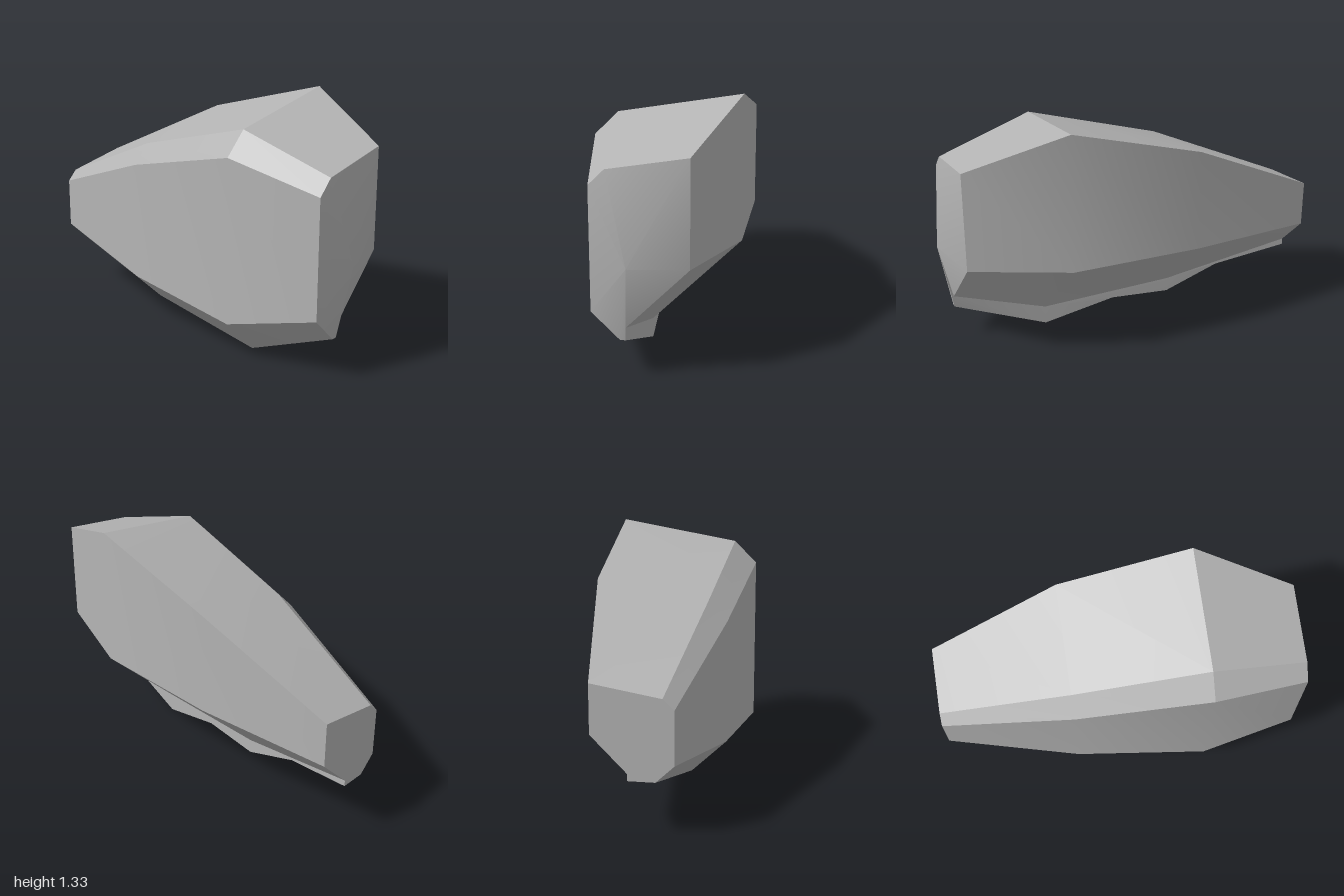
import * as THREE from 'three';
import { toCreasedNormals } from 'three/addons/utils/BufferGeometryUtils.js';

// Cross-sections along x: [z, y] pairs running front top, over the back, under the keel, to front bottom
const sections = [
  { x: -1.0, ring: [[0.145, 0.635], [0.09, 0.69], [-0.26, 0.75], [-0.26, 0.5], [-0.08, 0.315], [-0.08, 0.28], [0.055, 0.28], [0.145, 0.365]] },
  { x: -0.29, ring: [[0.3, 0.905], [0.2, 1.005], [-0.375, 1.11], [-0.375, 0.55], [0, 0.17], [0, 0.09], [0.12, 0.09], [0.3, 0.26]] },
  { x: 0.42, ring: [[0.375, 1.095], [0.255, 1.215], [-0.375, 1.325], [-0.375, 0.565], [0.087, 0.105], [0.087, 0], [0.165, 0], [0.375, 0.21]] },
  { x: 0.925, ring: [[0.3, 0.98], [0.22, 1.06], [-0.183, 1.13], [-0.183, 0.585], [0.13, 0.27], [0.13, 0.205], [0.158, 0.205], [0.3, 0.345]] },
];
const SIDES = 8;
const LEDGE = 4; // the narrow ledge strip starts at this ring point

function buildBody() {
  const positions = [];
  const index = [];
  for (const { x, ring } of sections) for (const [z, y] of ring) positions.push(x, y, z);
  const at = (s, j) => s * SIDES + (j % SIDES);

  // Long facets between neighbouring sections
  for (let s = 0; s < sections.length - 1; s++) {
    const notched = s < 2;
    for (let j = 0; j < SIDES; j++) {
      const a = at(s, j), b = at(s + 1, j), c = at(s, j + 1), d = at(s + 1, j + 1);
      if (!(notched && j === LEDGE + 1)) index.push(a, b, c);
      if (!(notched && j === LEDGE)) index.push(b, d, c);
    }
    // Slanted notch cut into the keel edge
    if (notched) {
      const e = at(s + 1, LEDGE), f = at(s + 1, LEDGE + 1);
      const g = at(s, LEDGE + 2), h = at(s, LEDGE + 1);
      index.push(e, f, g, e, g, h);
    }
  }

  // Flat cap on the narrow end, shallow point on the wide end
  for (let j = 1; j < SIDES - 1; j++) index.push(at(0, 0), at(0, j), at(0, j + 1));
  const tip = positions.length / 3;
  positions.push(1, 0.6, 0.11);
  const last = sections.length - 1;
  for (let j = 0; j < SIDES; j++) index.push(tip, at(last, j + 1), at(last, j));

  const geometry = new THREE.BufferGeometry();
  geometry.setAttribute('position', new THREE.Float32BufferAttribute(positions, 3));
  geometry.setIndex(index);
  return toCreasedNormals(geometry, 0.5);
}

export function createModel() {
  const grey = new THREE.MeshStandardMaterial({ color: 0xb4b4b4 });
  grey.name = 'stone grey';
  const body = new THREE.Mesh(buildBody(), grey);
  body.name = 'facetedBody';
  const model = new THREE.Group();
  model.name = 'facetedBlock';
  model.add(body);
  return model;
}
